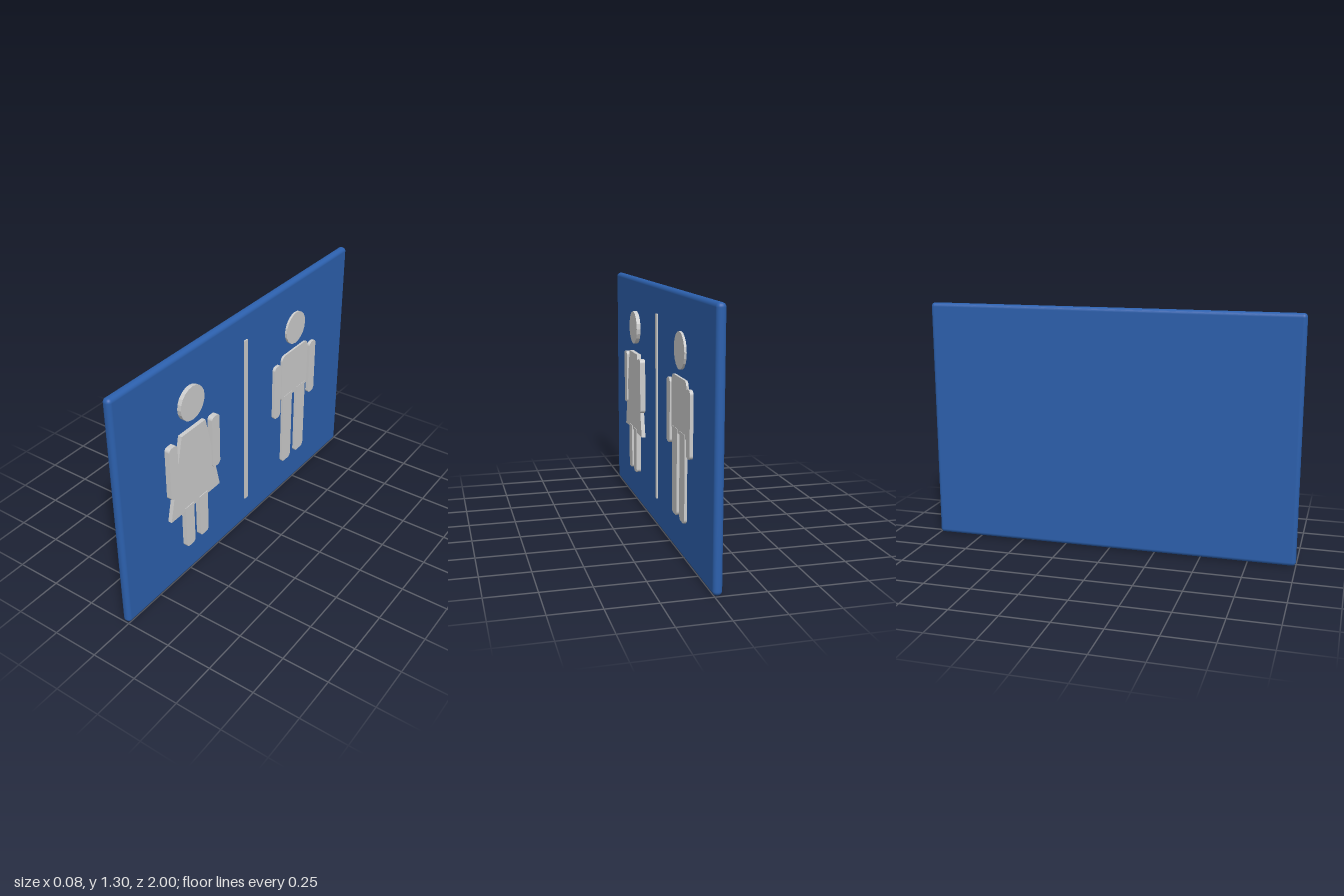
import * as THREE from 'three';
import { RoundedBoxGeometry } from 'three/addons/geometries/RoundedBoxGeometry.js';

const FACE = 0.006; // x of the panel face that carries the figures

export function createModel() {
  const blue = new THREE.MeshStandardMaterial({ color: 0x2c60ad });
  blue.name = 'panel blue';
  const grey = new THREE.MeshStandardMaterial({ color: 0xcccccc });
  grey.name = 'figure light grey';

  const model = new THREE.Group();
  model.name = 'restroomSign';

  // Panel with rounded edges
  const panel = new THREE.Mesh(new RoundedBoxGeometry(0.046, 1.305, 2, 5, 0.021), blue);
  panel.name = 'panel';
  panel.position.set(FACE - 0.023, 0.6525, 0);
  model.add(panel);

  // Raised part: outline in (across, up), pushed out of the panel face to x = top
  function raise(parent, name, shape, top) {
    const geometry = new THREE.ExtrudeGeometry(shape, {
      depth: top - FACE + 0.004, bevelEnabled: false, curveSegments: 10,
    });
    geometry.rotateY(Math.PI / 2);
    geometry.translate(FACE - 0.004, 0, 0);
    const mesh = new THREE.Mesh(geometry, grey);
    mesh.name = name;
    parent.add(mesh);
  }

  // Rectangle with separate corner radii for the top and bottom
  function slab(u0, u1, v0, v1, rTop, rBottom) {
    const s = new THREE.Shape();
    s.moveTo(u0 + rBottom, v0);
    s.lineTo(u1 - rBottom, v0);
    if (rBottom) s.absarc(u1 - rBottom, v0 + rBottom, rBottom, -Math.PI / 2, 0);
    s.lineTo(u1, v1 - rTop);
    if (rTop) s.absarc(u1 - rTop, v1 - rTop, rTop, 0, Math.PI / 2);
    s.lineTo(u0 + rTop, v1);
    if (rTop) s.absarc(u0 + rTop, v1 - rTop, rTop, Math.PI / 2, Math.PI);
    s.lineTo(u0, v0 + rBottom);
    if (rBottom) s.absarc(u0 + rBottom, v0 + rBottom, rBottom, Math.PI, Math.PI * 1.5);
    return s;
  }

  const disc = (u, v, r) => new THREE.Shape().absarc(u, v, r, 0, Math.PI * 2);

  // Divider between the figures
  raise(model, 'divider', slab(-0.014, 0.014, 0.155, 1.155, 0.003, 0.003), 0.013);

  // Figure in a dress
  const woman = new THREE.Group();
  woman.name = 'womanFigure';
  const w = -0.465;
  raise(woman, 'head', disc(w, 1.028, 0.092), 0.028);
  raise(woman, 'dress', new THREE.Shape([
    new THREE.Vector2(w - 0.2, 0.43), new THREE.Vector2(w + 0.2, 0.43),
    new THREE.Vector2(w + 0.094, 0.885), new THREE.Vector2(w - 0.094, 0.885),
  ]), 0.028);
  for (const [side, sign] of [['Front', -1], ['Back', 1]]) {
    const arm = w + sign * 0.168, leg = w + sign * 0.057;
    raise(woman, 'arm' + side, slab(arm - 0.031, arm + 0.031, 0.567, 0.87, 0.02, 0.02), 0.035);
    raise(woman, 'leg' + side, slab(leg - 0.034, leg + 0.034, 0.195, 0.45, 0, 0.02), 0.032);
  }
  model.add(woman);

  // Figure in trousers
  const man = new THREE.Group();
  man.name = 'manFigure';
  const m = 0.461;
  raise(man, 'head', disc(m, 1.028, 0.092), 0.018);
  raise(man, 'torso', slab(m - 0.129, m + 0.129, 0.62, 0.9, 0.03, 0.02), 0.018);
  for (const [side, sign] of [['Front', -1], ['Back', 1]]) {
    const arm = m + sign * 0.176, leg = m + sign * 0.068;
    raise(man, 'arm' + side, slab(arm - 0.031, arm + 0.031, 0.54, 0.87, 0.022, 0.022), 0.023);
    raise(man, 'leg' + side, slab(leg - 0.045, leg + 0.045, 0.195, 0.64, 0, 0.025), 0.02);
  }
  model.add(man);

  return model;
}
